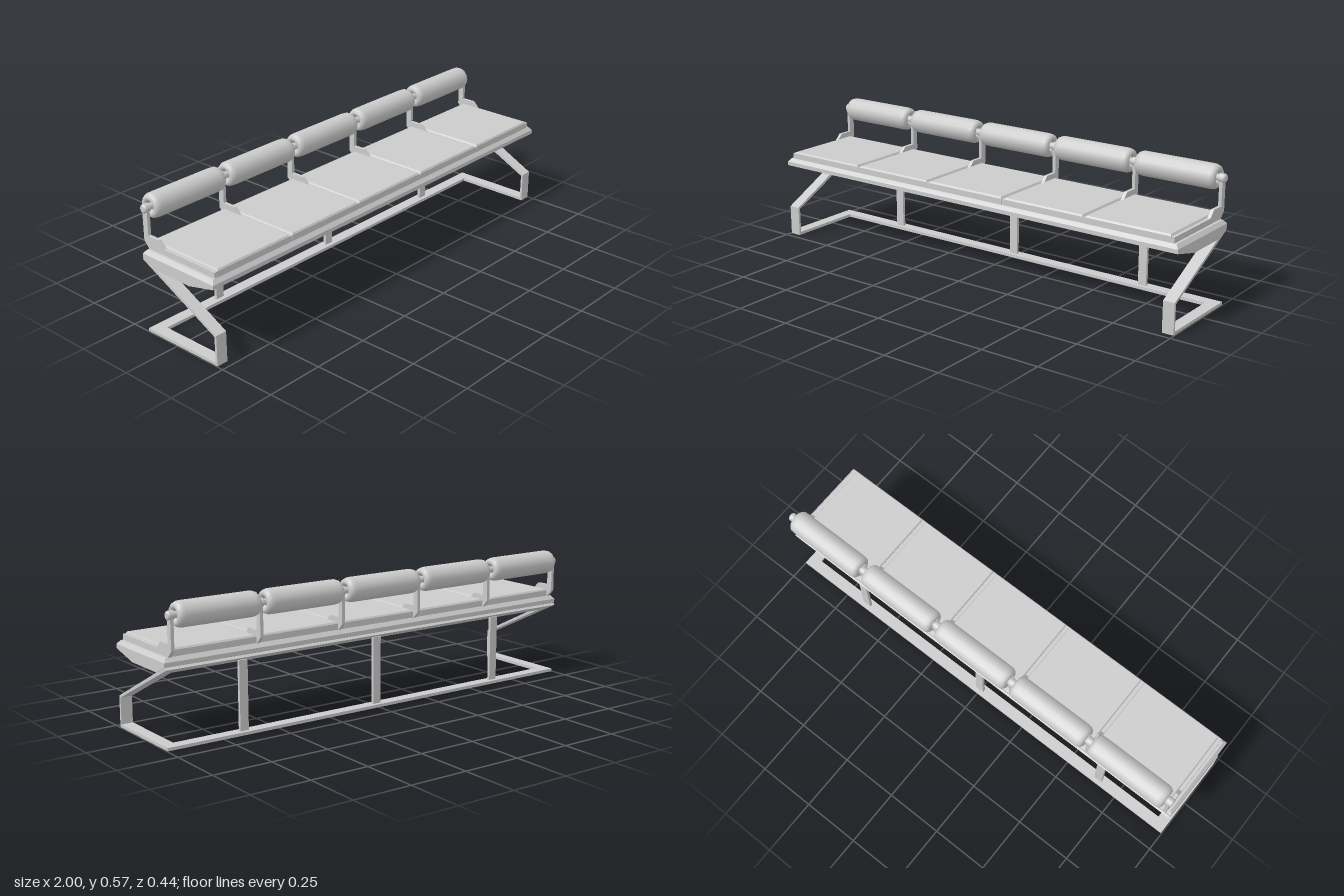
import * as THREE from 'three';

const grey = new THREE.MeshStandardMaterial({ color: 0xcccccc, side: THREE.DoubleSide });

// Side profile given as [z, y] points, extruded along x and centred on cx
function profile(points, width, cx) {
  const shape = new THREE.Shape(points.map(([z, y]) => new THREE.Vector2(z, y)));
  return new THREE.ExtrudeGeometry(shape, { depth: width, bevelEnabled: false })
    .rotateY(-Math.PI / 2)
    .translate(cx + width / 2, 0, 0);
}

// Box between two corners whose top face is drawn in by an inset
function slab([x0, y0, z0], [x1, y1, z1], inset = 0) {
  const g = new THREE.BoxGeometry(x1 - x0, y1 - y0, z1 - z0);
  const p = g.attributes.position;
  for (let i = 0; i < p.count; i++) {
    if (p.getY(i) > 0) {
      p.setX(i, p.getX(i) - Math.sign(p.getX(i)) * inset);
      p.setZ(i, p.getZ(i) - Math.sign(p.getZ(i)) * inset);
    }
  }
  g.computeVertexNormals();
  return g.translate((x0 + x1) / 2, (y0 + y1) / 2, (z0 + z1) / 2);
}

// Turned part along x, from [radius, position] points
function turned(points, sides) {
  return new THREE.LatheGeometry(points.map(([r, t]) => new THREE.Vector2(r, t)), sides)
    .rotateZ(-Math.PI / 2);
}

export function createModel() {
  const model = new THREE.Group();
  model.name = 'bench';
  const add = (name, geometry, parent = model) => {
    const mesh = new THREE.Mesh(geometry, grey);
    mesh.name = name;
    parent.add(mesh);
    return mesh;
  };

  // Base frame: two bent end legs, joined by a floor bar and a sloped bar under the seat
  const frame = new THREE.Group();
  frame.name = 'frame';
  model.add(frame);
  for (const side of [-1, 1]) {
    add('endLeg', profile([
      [-0.167, 0], [0.22, 0], [0.22, 0.13], [-0.162, 0.323], [-0.173, 0.313],
      [0.21, 0.123], [0.21, 0.013], [-0.167, 0.013],
    ], 0.05, side * 0.972), frame);
  }
  add('floorBar', slab([-0.947, 0, -0.167], [0.947, 0.013, -0.118]), frame);
  add('seatBar', profile([
    [-0.162, 0.323], [-0.173, 0.313], [-0.118, 0.286], [-0.107, 0.295],
  ], 1.894, 0), frame);
  for (const x of [-0.648, 0, 0.648]) {
    add('rearPost', slab([x - 0.019, 0.013, -0.149], [x + 0.019, 0.298, -0.136]), frame);
  }

  // Seat tray with a wedge-shaped underside and a bevelled top edge
  add('seatTray', profile([
    [0.22, 0.34], [0.22, 0.323], [0.09, 0.292], [-0.104, 0.292],
    [-0.167, 0.323], [-0.167, 0.34],
  ], 2, 0));
  add('trayRim', slab([-1, 0.34, -0.167], [1, 0.356, 0.22], 0.013));

  // Five seats, each with a cushion and a padded back roller
  const pitch = 0.388, rollerY = 0.518, rollerZ = -0.168;
  const half = [[0.051, 0.15], [0.05, 0.163], [0.046, 0.173], [0.038, 0.18],
    [0.029, 0.18], [0.022, 0.174], [0.018, 0.163]];
  const rollerProfile = [
    ...half.map(([r, t]) => [r, -t]).reverse(),
    ...half,
  ];
  for (let i = -2; i <= 2; i++) {
    const x = i * pitch;
    add('cushionBase', slab([x - 0.187, 0.355, -0.152], [x + 0.187, 0.381, 0.207]));
    add('cushionTop', slab([x - 0.187, 0.381, -0.152], [x + 0.187, 0.388, 0.207], 0.005));
    add('backRoller', turned(rollerProfile, 14)).position.set(x, rollerY, rollerZ);
  }

  // Six brackets: a divider strip between cushions that rises to hold the roller axle
  for (let i = 0; i < 6; i++) {
    const x = (i - 2.5) * pitch;
    add('bracket', profile([
      [0.206, 0.355], [0.206, 0.38], [-0.07, 0.38], [-0.097, 0.408], [-0.155, 0.408],
      [-0.155, 0.52], [-0.181, 0.52], [-0.181, 0.383], [-0.155, 0.355],
    ], 0.014, x));
    add('axleBoss', turned([
      [0, -0.016], [0.013, -0.016], [0.013, -0.016], [0.018, -0.011], [0.018, -0.011],
      [0.018, 0.011], [0.018, 0.011], [0.013, 0.016], [0.013, 0.016], [0, 0.016],
    ], 16)).position.set(x, rollerY, rollerZ);
  }
  add('axle', new THREE.CylinderGeometry(0.013, 0.013, 1.96, 16).rotateZ(Math.PI / 2))
    .position.set(0, rollerY, rollerZ);

  return model;
}
